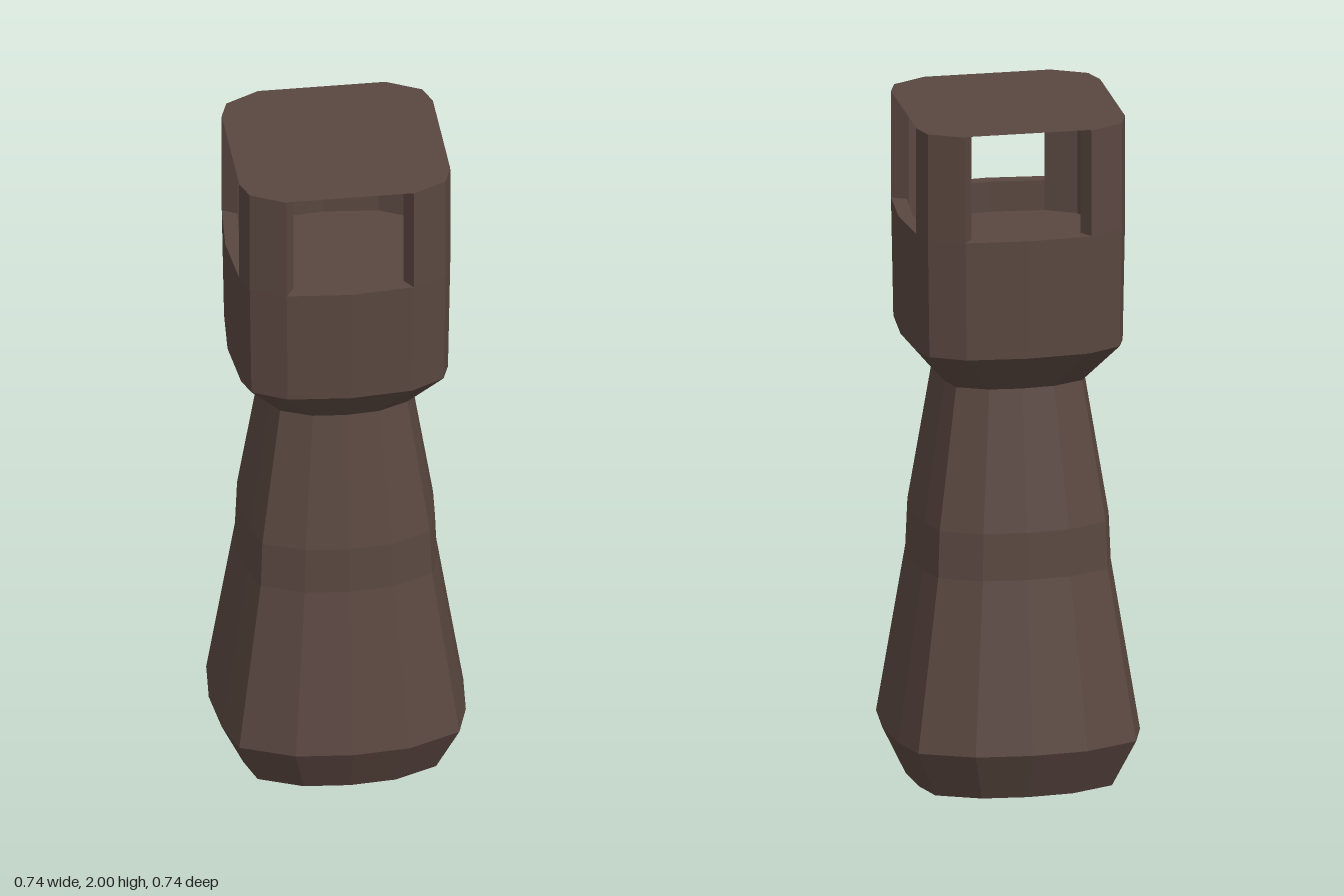
import * as THREE from 'three';

const brown = new THREE.MeshStandardMaterial({ color: 0x5a4740, flatShading: true });
brown.name = 'dark brown';
const brownSheet = brown.clone();
brownSheet.name = 'dark brown sheet';
brownSheet.side = THREE.DoubleSide;

// Full 12-sided outline from one quadrant of [x, z] points, running from +x towards +z
function outline(side, sideEdge, corner, frontEdge, front) {
  const quarter = [sideEdge, corner, frontEdge];
  const flipped = (sx, sz, list) => list.map(([x, z]) => [x * sx, z * sz]);
  const back = [...quarter].reverse();
  return [
    [side, 0], ...quarter,
    [0, front], ...flipped(-1, 1, back),
    [-side, 0], ...flipped(-1, -1, quarter),
    [0, -front], ...flipped(1, -1, back),
  ];
}

const bodySection = outline(0.37, [0.355, 0.165], [0.32, 0.285], [0.165, 0.355], 0.37);
const headSection = outline(0.322, [0.307, 0.185], [0.285, 0.25], [0.185, 0.305], 0.322);
const innerSection = outline(0.28, [0.265, 0.16], [0.247, 0.217], [0.16, 0.265], 0.28);

// Faceted skin through rings of { section, y, scale }; scale 0 closes an end
function loft(rings) {
  const pos = [];
  const point = (r, j) => {
    const [x, z] = r.section[j % r.section.length];
    return [x * r.scale, r.y, z * r.scale];
  };
  for (let i = 0; i < rings.length - 1; i++) {
    const lo = rings[i], hi = rings[i + 1];
    for (let j = 0; j < lo.section.length; j++) {
      const a = point(lo, j), b = point(lo, j + 1), c = point(hi, j + 1), d = point(hi, j);
      if (lo.scale > 0) pos.push(...a, ...d, ...b);
      if (hi.scale > 0) pos.push(...b, ...d, ...c);
    }
  }
  const g = new THREE.BufferGeometry();
  g.setAttribute('position', new THREE.Float32BufferAttribute(pos, 3));
  g.computeVertexNormals();
  return g;
}

const body = (y, radius) => ({ section: bodySection, y, scale: radius / 0.37 });
const head = (y, scale) => ({ section: headSection, y, scale });
const inner = (y, scale) => ({ section: innerSection, y, scale });

export function createModel() {
  const group = new THREE.Group();
  group.name = 'tower';
  const add = (name, geometry, material = brown) => {
    const mesh = new THREE.Mesh(geometry, material);
    mesh.name = name;
    group.add(mesh);
  };

  // Tapered foot, waisted shaft and flared collar
  add('base', loft([body(0, 0), body(0, 0.3), body(0.145, 0.37)]));
  add('shaft', loft([body(0.145, 0.37), body(0.65, 0.288), body(0.79, 0.282), body(1.205, 0.214)]));
  add('collar', loft([body(1.205, 0.214), head(1.325, 0.98)]));

  // Head wall with a rim and a sunken floor
  add('head', loft([head(1.325, 0.98), head(1.68, 1), inner(1.68, 1), inner(1.59, 1)]));
  add('floor', loft([inner(1.59, 1), inner(1.59, 0)]));

  // Angled corner pillars
  for (const sx of [1, -1]) for (const sz of [1, -1]) {
    const pts = [...headSection.slice(1, 4), ...innerSection.slice(1, 4).reverse()];
    const shape = new THREE.Shape(pts.map(([x, z]) => new THREE.Vector2(x * sx, z * sz)));
    const g = new THREE.ExtrudeGeometry(shape, { depth: 0.319, bevelEnabled: false });
    g.rotateX(-Math.PI / 2).translate(0, 1.679, 0);
    add('pillar', g);
  }

  // Thin flat roof over the pillars
  const roofPts = headSection.filter((p, i) => i % 4 !== 0).map(([x, z]) => new THREE.Vector2(x, z));
  const roof = new THREE.ShapeGeometry(new THREE.Shape(roofPts));
  roof.rotateX(-Math.PI / 2).translate(0, 2, 0);
  add('roof', roof, brownSheet);

  return group;
}
